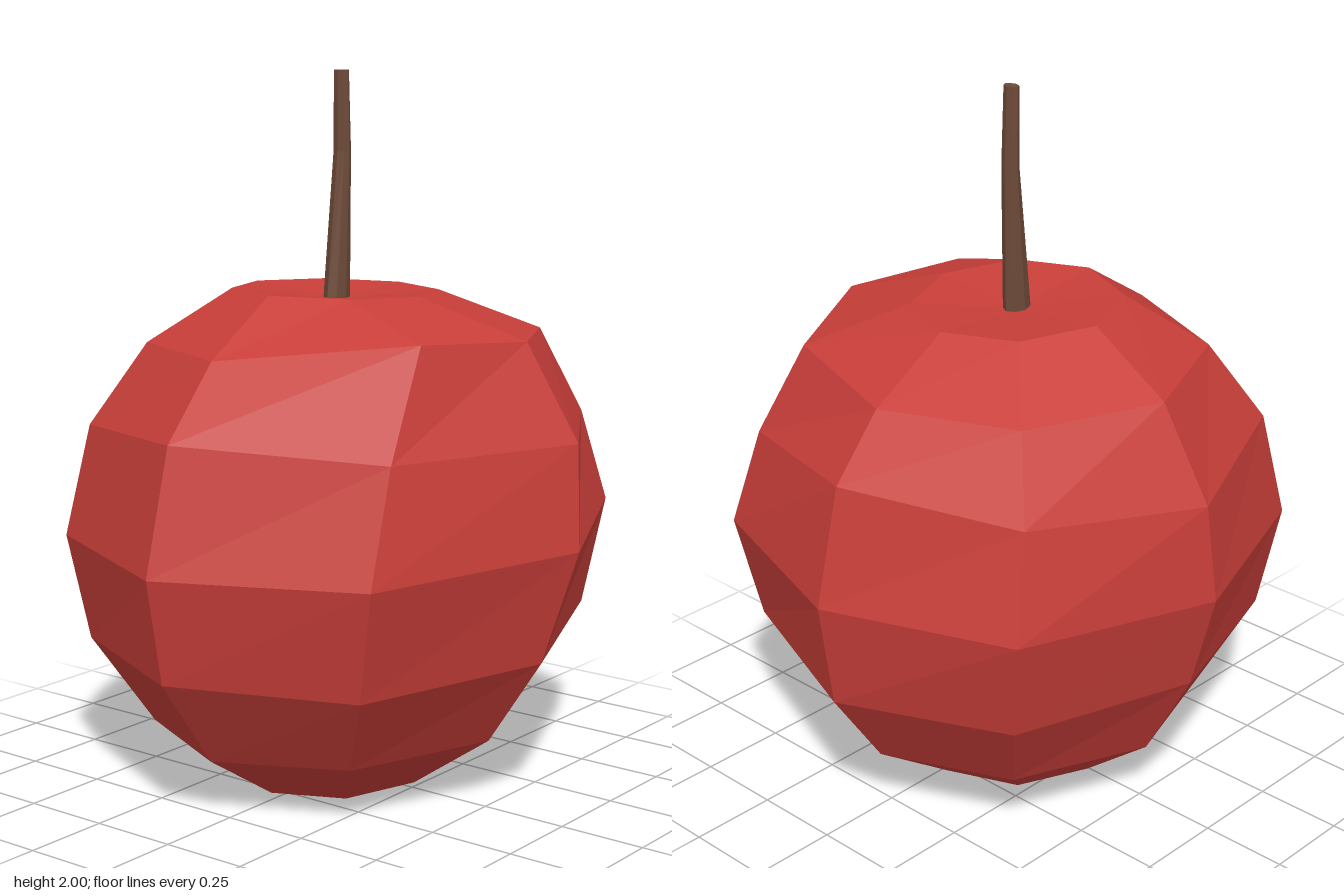
import * as THREE from 'three';

const SIDES = 8;

// Faceted skin over rings of points (top to bottom), closed by a fan at each end
function loft(rings, topPoint, bottomPoint) {
  const pos = [];
  const tri = (...pts) => pts.forEach((p) => pos.push(...p));
  const last = rings.length - 1;
  for (let k = 0; k < SIDES; k++) {
    const n = (k + 1) % SIDES;
    tri(topPoint, rings[0][n], rings[0][k]);
    for (let i = 0; i < last; i++) {
      const a = rings[i][k], b = rings[i][n], c = rings[i + 1][n], d = rings[i + 1][k];
      tri(a, b, c);
      tri(a, c, d);
    }
    tri(bottomPoint, rings[last][k], rings[last][n]);
  }
  const geo = new THREE.BufferGeometry();
  geo.setAttribute('position', new THREE.Float32BufferAttribute(pos, 3));
  geo.computeVertexNormals();
  return geo;
}

// One octagonal ring; tilt raises the +x side
function ring(cx, y, cz, rx, rz, tilt = 0) {
  return Array.from({ length: SIDES }, (_, k) => {
    const a = (k / SIDES) * Math.PI * 2;
    const dx = Math.cos(a) * rx;
    return [cx + dx, y + dx * tilt, cz + Math.sin(a) * rz];
  });
}

export function createModel() {
  const group = new THREE.Group();
  const red = new THREE.MeshStandardMaterial({ color: 0xc83e39, flatShading: true });
  red.name = 'apple red';
  const brown = new THREE.MeshStandardMaterial({ color: 0x6d4a38, flatShading: true });
  brown.name = 'stem brown';

  // Fruit rings: radius, height, centre x, depth factor, tilt
  const fruitRings = [
    [0.295, 1.397, 0.015, 0.97, -0.035],
    [0.533, 1.25, 0.018, 0.99, -0.015],
    [0.695, 1.03, 0.005, 0.97, 0],
    [0.78, 0.73, 0, 0.93, 0.015],
    [0.73, 0.43, 0.005, 0.9, 0.01],
    [0.553, 0.18, 0.017, 0.9, 0.03],
    [0.295, 0.01, 0.015, 0.95, 0.03],
  ].map(([r, y, cx, depth, tilt]) => ring(cx, y, -0.035, r, r * depth, tilt));

  // Hand-shaped bumps: ring, side, then the shift in x, y, z
  const bumps = [
    [1, 1, 0.045, 0.03, 0.03], [1, 2, 0.06, 0.045, 0.07], [1, 3, 0.1, 0.06, 0.12],
    [2, 0, 0, 0.04, 0], [2, 1, 0.055, 0, 0], [2, 2, 0.105, 0, 0.07],
    [2, 3, 0.055, 0, 0.05], [2, 4, 0, 0.03, 0], [2, 6, 0, -0.04, 0],
    [3, 1, 0.07, 0.025, 0.01], [3, 2, 0.075, 0.015, 0.05], [3, 3, 0.015, 0, 0.03],
    [3, 6, 0, -0.01, 0.015], [3, 7, 0.02, 0, -0.01],
    [4, 1, 0.04, 0.025, 0.02], [4, 2, 0.03, 0, 0.03], [4, 3, 0.02, -0.02, 0.01],
    [4, 6, 0, 0.01, 0.02], [5, 2, 0.013, 0, 0.025],
  ];
  for (const [i, k, ...shift] of bumps) {
    fruitRings[i][k] = fruitRings[i][k].map((v, axis) => v + shift[axis]);
  }

  // Fruit with a shallow hollow on top and a deeper one underneath
  const fruit = new THREE.Mesh(loft(fruitRings, [0.015, 1.37, -0.035], [0.015, 0.07, -0.035]), red);
  fruit.name = 'fruit';
  group.add(fruit);

  // Bent stem, wider at its foot
  const stemRings = [
    ring(0.036, 2, -0.032, 0.017, 0.024),
    ring(0.04, 1.78, -0.032, 0.022, 0.026),
    ring(0.014, 1.36, -0.032, 0.044, 0.033),
  ];
  const stem = new THREE.Mesh(loft(stemRings, [0.036, 2, -0.032], [0.014, 1.36, -0.032]), brown);
  stem.name = 'stem';
  group.add(stem);

  return group;
}
